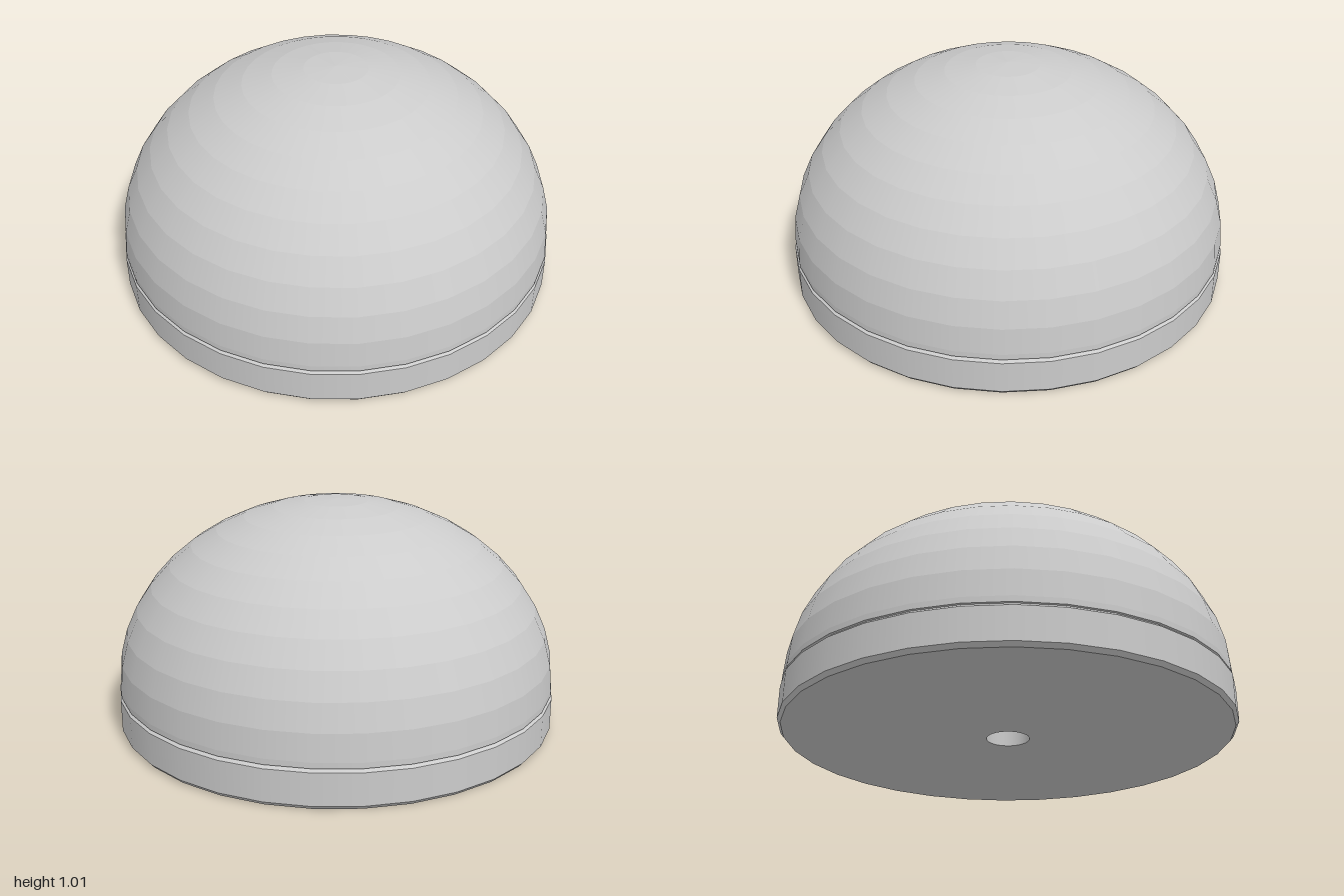
import * as THREE from 'three';
import { mergeGeometries } from 'three/addons/utils/BufferGeometryUtils.js';

const SIDES = 32;

// Revolve each profile segment separately: smooth around, crisp between bands
function bandedLathe(profile) {
  const points = profile.map(([r, y]) => new THREE.Vector2(r, y));
  const bands = [];
  for (let i = 0; i < points.length - 1; i++) {
    bands.push(new THREE.LatheGeometry([points[i], points[i + 1]], SIDES));
  }
  return mergeGeometries(bands);
}

export function createModel() {
  const group = new THREE.Group();
  const material = new THREE.MeshStandardMaterial({ color: 0xcccccc });
  const add = (name, profile) => {
    const mesh = new THREE.Mesh(bandedLathe(profile), material);
    mesh.name = name;
    group.add(mesh);
  };

  const holeRadius = 0.095, seam = 0.175;

  // Base disc with chamfered rims and a central hole
  add('base', [
    [holeRadius, 0], [0.985, 0], [1, 0.018], [1, 0.16], [0.982, seam],
    [holeRadius, seam], [holeRadius, 0],
  ]);

  // Flattened dome above a short straight wall, closed underneath
  const radius = 0.995, spring = 0.2, rise = 0.813, bands = 11;
  const dome = [[0, seam], [radius, seam]];
  for (let i = 0; i <= bands; i++) {
    const a = (i / bands) * Math.PI / 2;
    dome.push([i === bands ? 0 : radius * Math.cos(a), spring + rise * Math.sin(a)]);
  }
  add('dome', dome);

  return group;
}
